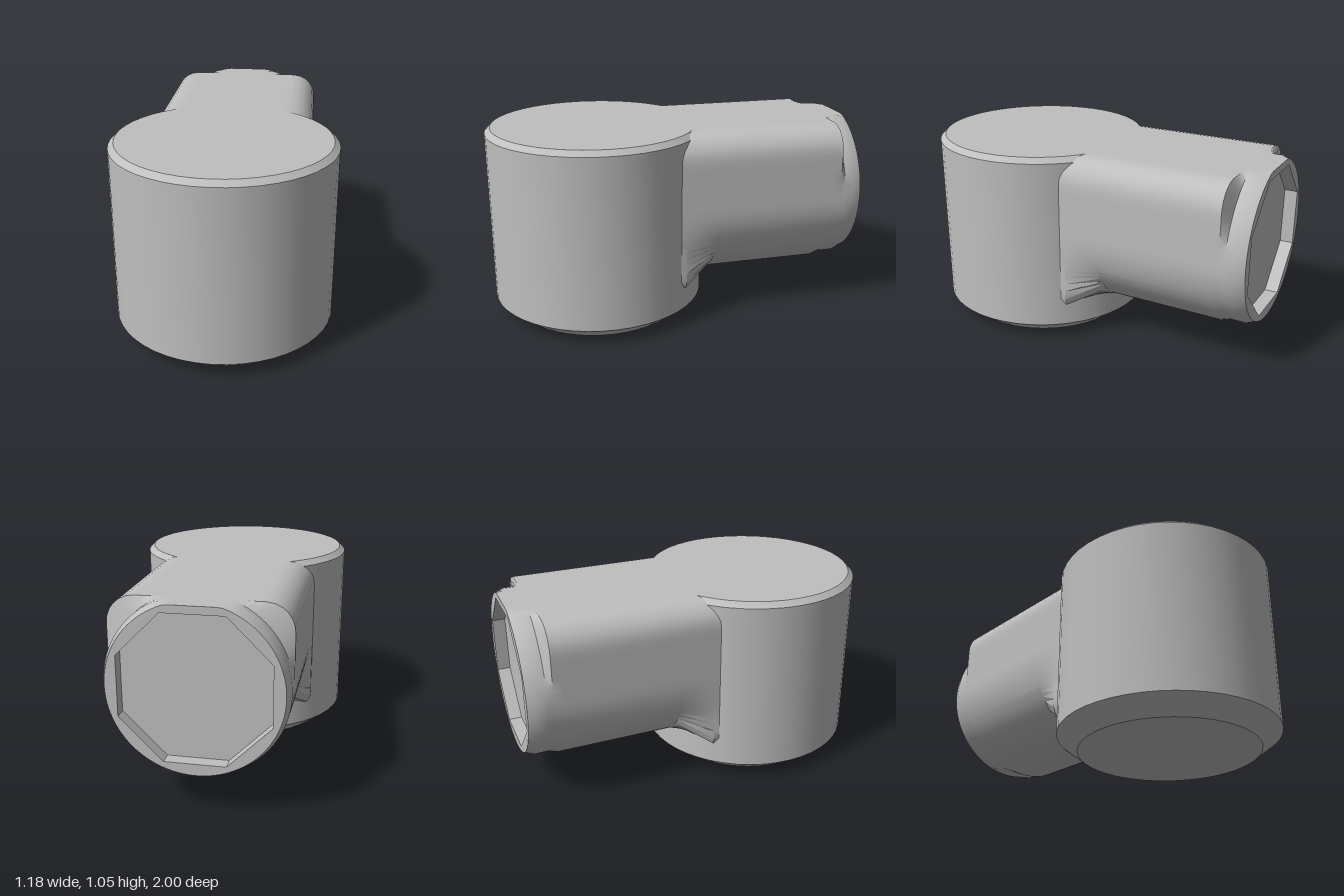
import * as THREE from 'three';
import { toCreasedNormals } from 'three/addons/utils/BufferGeometryUtils.js';

const AXIS_Y = 0.64; // height of the side arm's axis
const SIDES = 96;

// Polar outlines: distance from the arm axis in direction (c, s)
const ellipse = (w, h) => (c, s) => 1 / Math.hypot(c / w, s / h);

const roundedBox = (w, h, r) => (c, s) => {
  c = Math.abs(c); s = Math.abs(s);
  const kx = w - r, ky = h - r;
  if (s > 0 && (h / s) * c <= kx) return h / s;
  if (c > 0 && (w / c) * s <= ky) return w / c;
  const d = c * kx + s * ky;
  return d + Math.sqrt(Math.max(0, d * d - kx * kx - ky * ky + r * r));
};

const clippedCircle = (r) => (c, s) =>
  Math.min(r, s > 0.01 ? 0.41 / s : r, s < -0.01 ? 0.43 / -s : r);

const octagon = (apothem) => (c, s) => {
  const step = Math.PI / 4;
  const a = Math.atan2(s, c) + 2 * Math.PI + step / 2;
  return apothem / Math.cos((a % step) - step / 2);
};

const split = (upper, lower) => (c, s) => (s >= 0 ? upper : lower)(c, s);

// Loft through sections [z, outline], running toward -z
function loft(sections) {
  const pos = [], index = [];
  for (const [z, outline] of sections) {
    for (let j = 0; j < SIDES; j++) {
      const a = (j / SIDES) * Math.PI * 2;
      const c = Math.cos(a), s = Math.sin(a), r = outline(c, s);
      pos.push(c * r, AXIS_Y + s * r, z);
    }
  }
  for (let i = 0; i < sections.length - 1; i++) {
    for (let j = 0; j < SIDES; j++) {
      const k = (j + 1) % SIDES;
      const a = i * SIDES + j, b = i * SIDES + k;
      index.push(a, a + SIDES, b, b, a + SIDES, b + SIDES);
    }
  }
  const g = new THREE.BufferGeometry();
  g.setAttribute('position', new THREE.Float32BufferAttribute(pos, 3));
  g.setIndex(index);
  return toCreasedNormals(g, 0.5);
}

export function createModel() {
  const group = new THREE.Group();
  group.name = 'elbowFitting';
  const grey = new THREE.MeshStandardMaterial({ color: 0xbfbfbf });
  grey.name = 'grey';

  const add = (name, geometry) => {
    const mesh = new THREE.Mesh(geometry, grey);
    mesh.name = name;
    group.add(mesh);
    return mesh;
  };

  // Upright drum with a wide lower bevel and a slim upper one
  const profile = [[0, 0], [0.48, 0], [0.59, 0.085], [0.59, 1.022], [0.56, 1.05], [0, 1.05]];
  const drum = new THREE.LatheGeometry(profile.map(([x, y]) => new THREE.Vector2(x, y)), 48);
  add('drum', toCreasedNormals(drum, 0.4)).position.z = 0.41;

  // Arm: square web at the neck, round underside, flat top with rounded shoulders,
  // a stepped collar and an eight-sided socket in its end
  const shoulders = roundedBox(0.45, 0.41, 0.14);
  const neck = split(shoulders, roundedBox(0.45, 0.44, 0.04));
  const body = split(shoulders, ellipse(0.45, 0.47));
  const collar = clippedCircle(0.45);
  add('arm', loft([
    [0.1, neck],
    [0.0, neck],
    [-0.18, body],
    [-0.82, body],
    [-0.87, split(shoulders, ellipse(0.45, 0.45))],
    [-0.9, collar],
    [-0.95, collar],
    [-1.0, clippedCircle(0.43)],
    [-1.0, octagon(0.37)],
    [-0.93, octagon(0.37)],
    [-0.93, () => 0],
  ]));

  return group;
}
